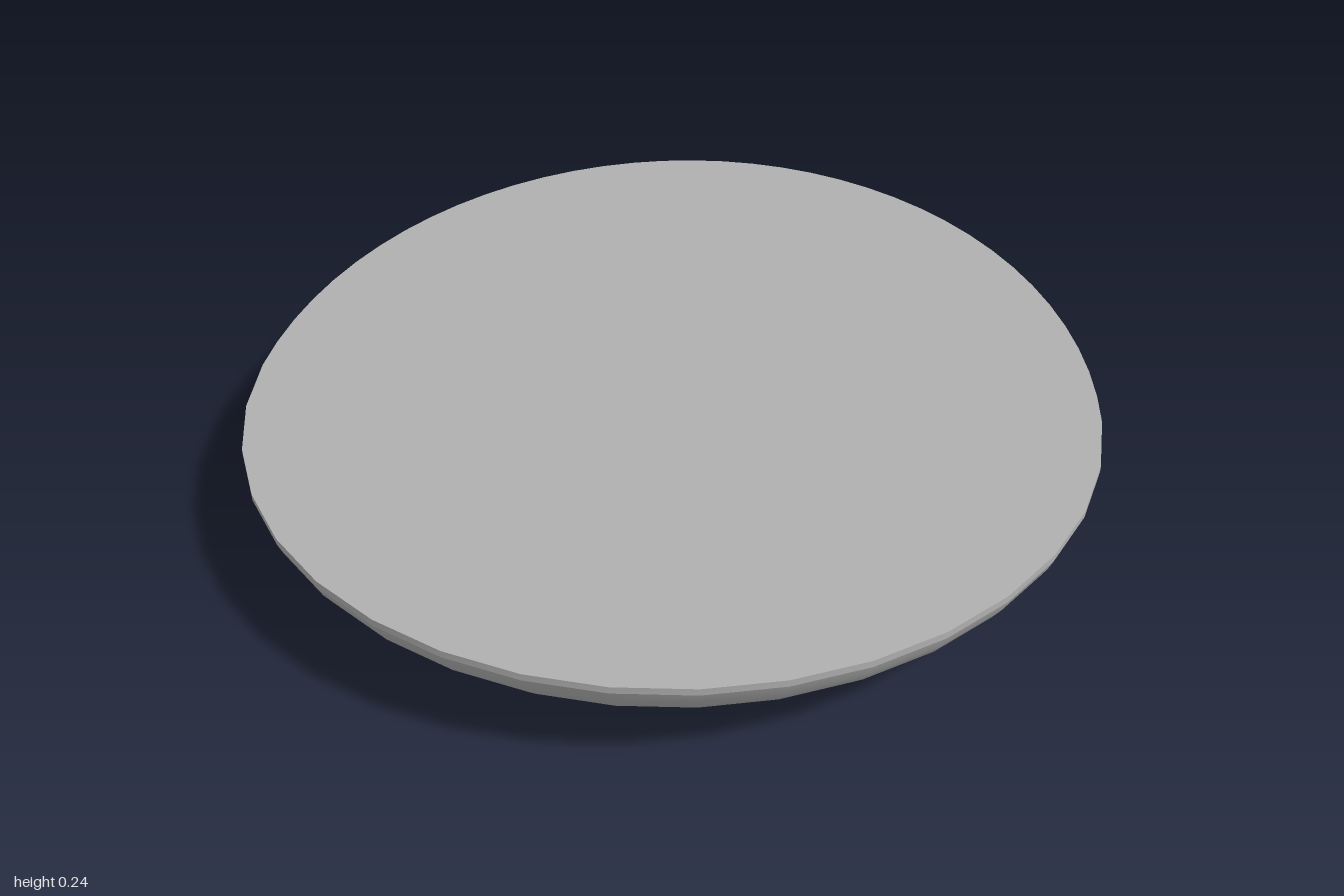
import * as THREE from 'three';

const CENTRE_Z = 0.09;

// Egg-shaped outlines: round in front, stretched behind. Coarser steps at the front.
const angles = [];
for (let d = -90; d < 90; d += 10) angles.push(THREE.MathUtils.degToRad(d));
for (let d = 90; d < 270; d += 5) angles.push(THREE.MathUtils.degToRad(d));

// Skin a list of levels [radius, back radius, y]
function loft(levels) {
  const n = angles.length;
  const positions = [];
  const indices = [];
  levels.forEach(([radius, back, y], i) => {
    angles.forEach((a, j) => {
      const c = Math.cos(a);
      positions.push(radius * Math.sin(a), y, CENTRE_Z + (c > 0 ? radius : back) * c);
      if (i === levels.length - 1) return;
      const k = (j + 1) % n;
      const p = i * n, q = p + n;
      indices.push(p + j, p + k, q + k, p + j, q + k, q + j);
    });
  });
  const geometry = new THREE.BufferGeometry();
  geometry.setAttribute('position', new THREE.Float32BufferAttribute(positions, 3));
  geometry.setIndex(indices);
  geometry.computeVertexNormals();
  return geometry;
}

export function createModel() {
  const group = new THREE.Group();
  const grey = new THREE.MeshStandardMaterial({ color: 0xb0b0b0 });
  grey.name = 'plain grey';

  const add = (name, levels) => {
    const mesh = new THREE.Mesh(loft(levels), grey);
    mesh.name = name;
    group.add(mesh);
  };

  // Shallow round underside
  const base = [[0, 0], [0.2, 0.003], [0.35, 0.013], [0.48, 0.028], [0.6, 0.045], [0.73, 0.07]];
  add('base', base.map(([r, y]) => [r, r, y]));

  // Wall: curved at the front and sides, a straight slope at the back
  const wall = [[0.73, 0.07], [0.775, 0.086], [0.815, 0.11], [0.85, 0.14], [0.88, 0.172], [0.9, 0.203], [0.91, 0.228]];
  add('wall', wall.map(([r, y]) => [r, THREE.MathUtils.mapLinear(y, 0.07, 0.228, 0.73, 1.09), y]));

  // Thin upright lip and flat lid
  add('lip', [[0.91, 1.09, 0.228], [0.91, 1.09, 0.243]]);
  add('lid', [[0.91, 1.09, 0.243], [0, 0, 0.243]]);

  return group;
}
